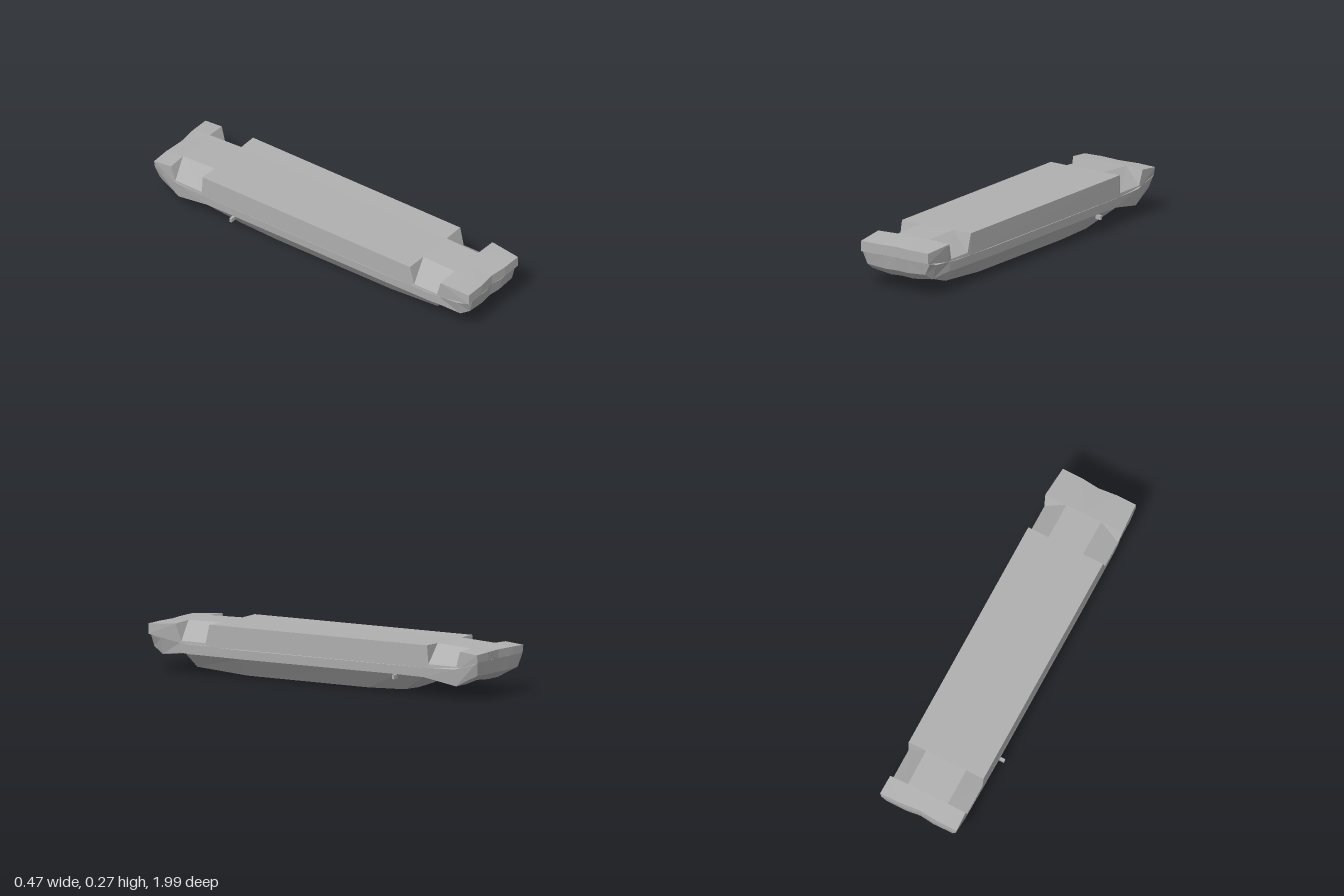
import * as THREE from 'three';

// Upper stations, front to back: z, outer edge z, top y, inner x, outer x, outer y
const DECK = [
  [1, 1, 0.19, 0.1, 0.21, 0.19],
  [1, 1, 0.245, 0.1, 0.21, 0.245],
  [0.83, 0.83, 0.262, 0.1, 0.222, 0.258],
  [0.83, 0.8, 0.262, 0.1, 0.212, 0.17],
  [0.63, 0.655, 0.266, 0.1, 0.212, 0.17],
  [0.63, 0.63, 0.266, 0.1, 0.215, 0.268],
  [-0.685, -0.685, 0.266, 0.115, 0.215, 0.267],
  [-0.685, -0.692, 0.266, 0.115, 0.212, 0.17],
  [-0.885, -0.86, 0.255, 0.115, 0.212, 0.17],
  [-0.885, -0.885, 0.255, 0.115, 0.217, 0.25],
  [-0.99, -0.99, 0.243, 0.115, 0.22, 0.24],
  [-0.99, -0.99, 0.2, 0.115, 0.213, 0.2],
];

// Lower stations: z, waist x, waist y, chine x, chine y, belly x, belly y, keel y
const HULL = [
  [1, 0.21, 0.19, 0.18, 0.19, 0.07, 0.19, 0.19],
  [0.985, 0.21, 0.187, 0.18, 0.125, 0.07, 0.117, 0.116],
  [0.93, 0.212, 0.17, 0.187, 0.09, 0.07, 0.074, 0.078],
  [0.81, 0.212, 0.16, 0.208, 0.108, 0.16, 0.1, 0.1],
  [0.75, 0.213, 0.155, 0.209, 0.105, 0.14, 0.032, 0.026],
  [0.45, 0.214, 0.15, 0.21, 0.103, 0.137, 0.01, 0.003],
  [-0.28, 0.214, 0.15, 0.21, 0.103, 0.137, 0.008, 0],
  [-0.5, 0.214, 0.15, 0.21, 0.103, 0.137, 0.016, 0.01],
  [-0.66, 0.213, 0.15, 0.208, 0.1, 0.16, 0.095, 0.092],
  [-0.85, 0.212, 0.155, 0.198, 0.066, 0.1, 0.066, 0.075],
  [-0.975, 0.213, 0.19, 0.19, 0.13, 0.08, 0.125, 0.125],
  [-0.99, 0.213, 0.2, 0.19, 0.2, 0.08, 0.2, 0.2],
];

// Waist point shared by the deck and the hull
function waist(z) {
  let i = 0;
  while (i < HULL.length - 2 && z < HULL[i + 1][0]) i++;
  const [a, b] = [HULL[i], HULL[i + 1]];
  const t = (a[0] - z) / (a[0] - b[0]);
  return [a[1] + (b[1] - a[1]) * t, a[2] + (b[2] - a[2]) * t, z];
}

// Slightly scooped ends at the centre line
const centreZ = (z) => (Math.abs(z) > 0.96 ? z - 0.01 * Math.sign(z) : z);

// Skin half rows of points, mirrored across x = 0
function loft(rows) {
  const pos = [];
  const tri = (p, q, r) => {
    pos.push(...p, ...q, ...r);
    for (const v of [p, r, q]) pos.push(-v[0], v[1], v[2]);
  };
  for (let s = 0; s < rows.length - 1; s++) {
    const [a, b] = [rows[s], rows[s + 1]];
    for (let i = 0; i < a.length - 1; i++) {
      tri(a[i], a[i + 1], b[i]);
      tri(a[i + 1], b[i + 1], b[i]);
    }
  }
  const geometry = new THREE.BufferGeometry();
  geometry.setAttribute('position', new THREE.Float32BufferAttribute(pos, 3));
  geometry.computeVertexNormals();
  return geometry;
}

export function createModel() {
  const model = new THREE.Group();
  model.name = 'carriageUnderbody';
  const grey = new THREE.MeshStandardMaterial({ color: 0xb0b0b0, flatShading: true, side: THREE.DoubleSide });
  grey.name = 'grey';

  const add = (name, geometry) => {
    const mesh = new THREE.Mesh(geometry, grey);
    mesh.name = name;
    model.add(mesh);
    return mesh;
  };

  // Deck with four ramped corner notches
  add('deck', loft(DECK.map(([z, ze, top, xi, xo, yo]) => [
    [0, top, centreZ(z)], [xi, top, z], [xo, yo, ze], waist(z),
  ])));

  // Lower hull with raised bumpers and a faceted belly
  add('hull', loft(HULL.map(([z, xw, yw, xc, yc, xb, yb, yk]) => [
    [xw, yw, z], [xc, yc, z], [xb, yb, z], [0, yk, centreZ(z)],
  ])));

  // Small side tabs
  for (const side of [1, -1]) {
    const tab = add(side > 0 ? 'leftTab' : 'rightTab', new THREE.BoxGeometry(0.032, 0.022, 0.014));
    tab.position.set(side * 0.22, 0.091, -0.493);
    tab.rotation.z = side * -0.04;
  }
  return model;
}
